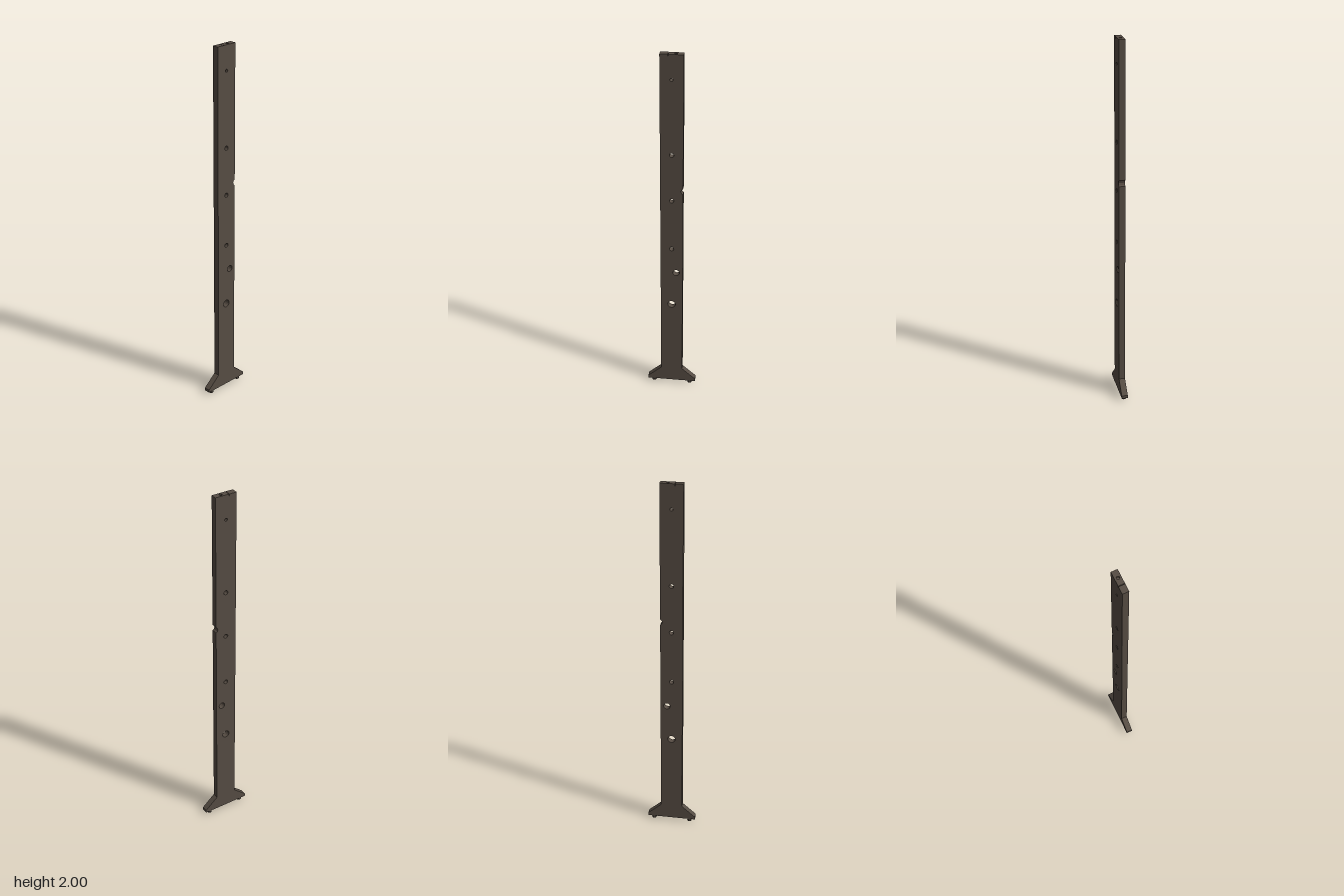
import * as THREE from 'three';

const DEPTH = 0.034;
const CAP = 0.01; // height of the top slice that carries the slit and the blind hole

export function createModel() {
  const group = new THREE.Group();
  const material = new THREE.MeshStandardMaterial({ color: 0x574d44, flatShading: true });

  const add = (name, geometry) => {
    const mesh = new THREE.Mesh(geometry, material);
    mesh.name = name;
    group.add(mesh);
    return mesh;
  };

  // Upright with its flared base and an arc notch bitten out of the left edge
  const top = 2 - CAP;
  const outline = new THREE.Shape();
  outline.moveTo(-0.135, 0.018);
  outline.lineTo(0.135, 0.018);
  outline.lineTo(0.135, 0.034);
  outline.lineTo(0.06, 0.1);
  outline.lineTo(0.06, 1.233);
  outline.lineTo(0.052, 1.24);
  outline.lineTo(0.049, 1.25);
  outline.lineTo(0.052, 1.26);
  outline.lineTo(0.06, 1.267);
  outline.lineTo(0.06, top);
  outline.lineTo(-0.06, top);
  outline.lineTo(-0.06, 0.1);
  outline.lineTo(-0.135, 0.034);
  outline.closePath();

  // Through holes: x, y, radius
  const holes = [
    [0, 1.868, 0.008], [0, 1.457, 0.012], [0, 1.193, 0.012],
    [0, 0.9, 0.012], [0.025, 0.75, 0.018], [0, 0.542, 0.021],
  ];
  for (const [x, y, r] of holes) {
    outline.holes.push(new THREE.Path().absarc(x, y, r, 0, Math.PI * 2, true));
  }
  const board = new THREE.ExtrudeGeometry(outline, { depth: DEPTH, bevelEnabled: false, curveSegments: 8 });
  add('upright', board.translate(0, 0, -DEPTH / 2));

  // Top slice in two pieces, leaving a narrow slit between them
  const topPiece = (name, x0, x1, holeX) => {
    const h = DEPTH / 2;
    const s = new THREE.Shape([[x0, -h], [x1, -h], [x1, h], [x0, h]].map(p => new THREE.Vector2(...p)));
    if (holeX !== undefined) s.holes.push(new THREE.Path().absarc(holeX, 0, 0.008, 0, Math.PI * 2, true));
    const g = new THREE.ExtrudeGeometry(s, { depth: CAP, bevelEnabled: false, curveSegments: 8 });
    add(name, g.rotateX(-Math.PI / 2).translate(0, top, 0));
  };
  topPiece('topRight', -0.06, -0.0195);
  topPiece('topLeft', -0.0165, 0.06, 0.02);

  // Peg feet
  for (const side of [-1, 1]) {
    const peg = add(side > 0 ? 'leftFoot' : 'rightFoot', new THREE.CylinderGeometry(0.013, 0.013, 0.02, 10));
    peg.position.set(side * 0.102, 0.01, 0);
  }
  return group;
}
